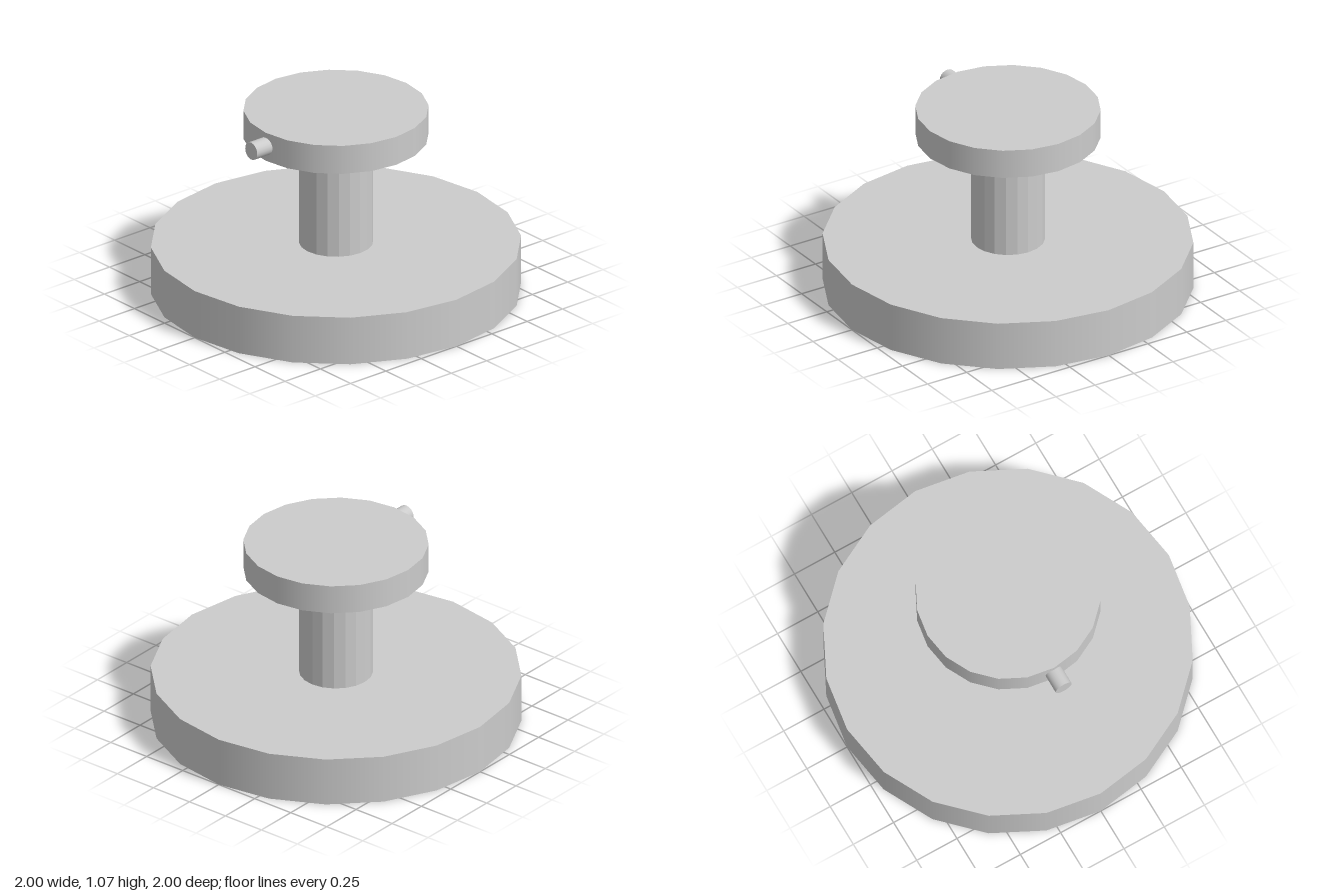
import * as THREE from 'three';

const SIDES = 20;

export function createModel() {
  const model = new THREE.Group();
  const smooth = new THREE.MeshStandardMaterial({ color: 0xcccccc });
  const faceted = new THREE.MeshStandardMaterial({ color: 0xcccccc, flatShading: true });

  // Upright cylinder spanning two heights
  function disc(name, radius, bottom, top, material) {
    const geometry = new THREE.CylinderGeometry(radius, radius, top - bottom, SIDES);
    const mesh = new THREE.Mesh(geometry, material);
    mesh.name = name;
    mesh.position.y = (bottom + top) / 2;
    model.add(mesh);
    return mesh;
  }

  disc('base', 1, 0, 0.275, smooth);
  disc('stem', 0.2, 0.275, 0.9, faceted);
  disc('topDisc', 0.5, 0.9, 1.065, smooth);

  // Small peg pointing forward from the rim of the top disc
  const peg = disc('peg', 0.05, 0, 0.12, smooth);
  peg.rotation.x = Math.PI / 2;
  peg.position.set(0, 0.985, 0.54);

  return model;
}
